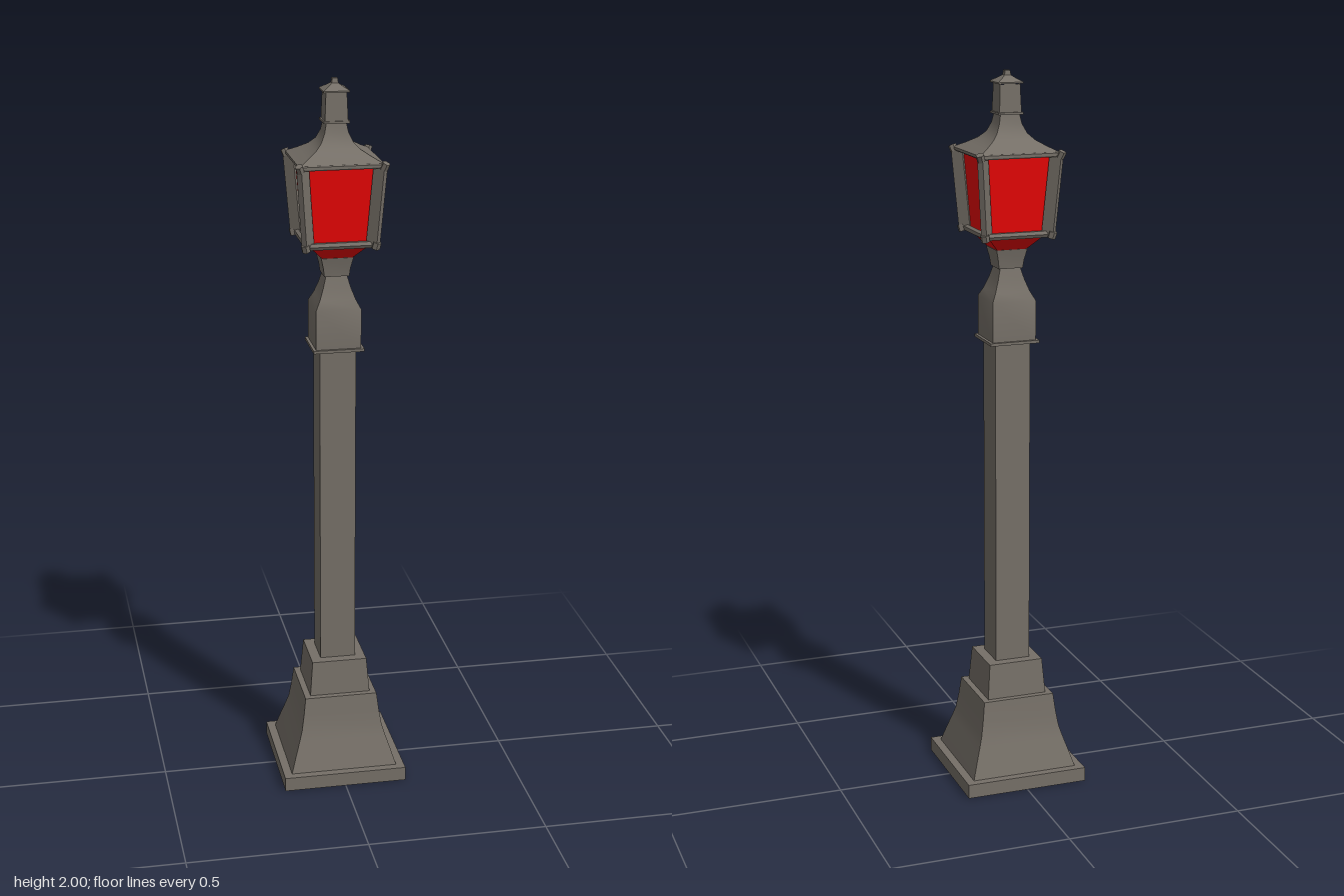
import * as THREE from 'three';
import { toCreasedNormals } from 'three/addons/utils/BufferGeometryUtils.js';

export function createModel() {
  const group = new THREE.Group();
  const metal = new THREE.MeshStandardMaterial({ name: 'grey metal', color: 0x756f67 });
  const glass = new THREE.MeshStandardMaterial({ name: 'red glass', color: 0xe80505 });

  const add = (name, geometry, material = metal) => {
    const mesh = new THREE.Mesh(geometry, material);
    mesh.name = name;
    group.add(mesh);
    return mesh;
  };

  // Square tower swept from a profile of [half width, height], bottom to top
  const square = (name, profile, material) => {
    const points = profile.map(([w, y]) => new THREE.Vector2(w * Math.SQRT2, y));
    return add(name, toCreasedNormals(new THREE.LatheGeometry(points, 4, Math.PI / 4), 0.5), material);
  };

  // Six-sided rod between two points
  const rod = (name, a, b, radius) => {
    const dir = b.clone().sub(a);
    const mesh = add(name, toCreasedNormals(new THREE.CylinderGeometry(radius, radius, dir.length(), 6), 0.5));
    mesh.position.copy(a).add(b).multiplyScalar(0.5);
    mesh.quaternion.setFromUnitVectors(new THREE.Vector3(0, 1, 0), dir.normalize());
  };

  // Foot and post
  square('plinth', [[0, 0], [0.175, 0], [0.175, 0.04], [0, 0.04]]);
  square('flaredBase', [[0.152, 0.04], [0.138, 0.085], [0.125, 0.125], [0.116, 0.155],
    [0.109, 0.2], [0.103, 0.25], [0, 0.25]]);
  square('upperBase', [[0.086, 0.25], [0.078, 0.35], [0, 0.35]]);
  square('shaft', [[0.05, 0.35], [0.05, 1.27]]);
  square('collarFlange', [[0, 1.268], [0.07, 1.268], [0.07, 1.276], [0, 1.276]]);
  square('collar', [[0.062, 1.276], [0.062, 1.385], [0.049, 1.41], [0.038, 1.44], [0.029, 1.472]]);
  square('lanternNeck', [[0, 1.472], [0.034, 1.472], [0.037, 1.495], [0.044, 1.525], [0, 1.525]]);

  // Red lantern body, set back from the frame
  square('lowerGlass', [[0.042, 1.525], [0.082, 1.568]], glass);
  square('lanternGlass', [[0.077, 1.57], [0.092, 1.785]], glass);

  // Frame: bars, leaning posts set on the diagonals, and knobs at their ends
  const low = 0.0875, high = 0.1035, bottom = 1.57, top = 1.785;
  const lean = Math.atan2((high - low) * Math.SQRT2, top - bottom);
  for (let i = 0; i < 4; i++) {
    const angle = Math.PI / 4 + i * Math.PI / 2;
    const corner = (w, y, a = angle) =>
      new THREE.Vector3(Math.cos(a) * w * Math.SQRT2, y, Math.sin(a) * w * Math.SQRT2);
    const next = angle + Math.PI / 2;
    rod('lowerBar', corner(0.086, bottom), corner(0.086, bottom, next), 0.01);
    rod('upperBar', corner(0.106, top), corner(0.106, top, next), 0.008);

    const post = add('cornerPost', new THREE.BoxGeometry(0.034, (top - bottom) / Math.cos(lean), 0.016));
    post.position.copy(corner((low + high) / 2, (bottom + top) / 2));
    post.rotation.set(0, -angle, -lean, 'YXZ');

    rod('lowerKnob', corner(0.093, 1.56), corner(0.097, 1.578), 0.012);
    rod('upperKnob', corner(0.11, 1.776), corner(0.116, 1.793), 0.011);
  }

  // Concave roof and stepped finial
  square('roof', [[0, 1.782], [0.114, 1.782], [0.114, 1.789], [0.085, 1.804], [0.06, 1.819],
    [0.043, 1.836], [0.032, 1.86], [0.027, 1.885]]);
  square('finialRim', [[0, 1.885], [0.035, 1.885], [0.035, 1.891], [0, 1.891]]);
  square('finialBody', [[0.031, 1.891], [0.028, 1.965]]);
  square('finialCap', [[0, 1.964], [0.035, 1.966], [0.035, 1.97], [0.031, 1.973], [0.02, 1.979],
    [0.009, 1.987], [0.007, 2], [0, 2]]);

  return group;
}
